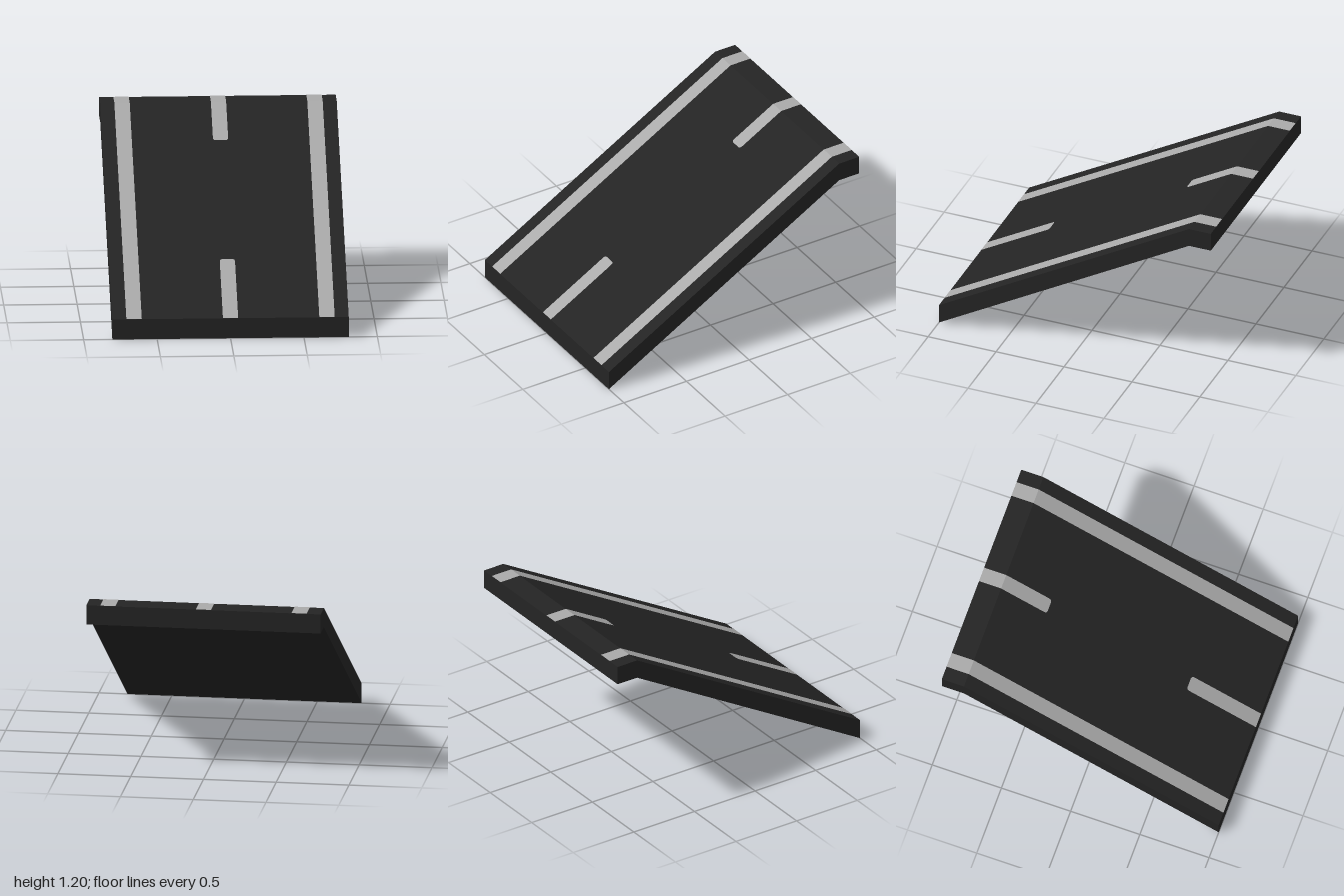
import * as THREE from 'three';

const HALF_WIDTH = 0.805;
const CREST_Z = -0.84; // where the slope meets the flat landing
const LIP = 0.14;      // height of the front edge
const TOP = 1.2;
const LIFT = 0.002;    // paint sits just above the road

// Height of the road surface at depth z
const roadHeight = (z) => z <= CREST_Z ? TOP : LIP + (TOP - LIP) * (1 - z) / (1 - CREST_Z);

export function createModel() {
  const asphalt = new THREE.MeshStandardMaterial({ color: 0x242424 });
  asphalt.name = 'asphalt';
  const paint = new THREE.MeshStandardMaterial({ color: 0xaaaaaa });
  paint.name = 'road paint';

  const model = new THREE.Group();
  model.name = 'roadRamp';

  // Sloping slab with a short flat landing, extruded across the width
  const profile = new THREE.Shape([
    [1, 0], [1, LIP], [CREST_Z, TOP], [-1, TOP], [-1, TOP - 0.135], [CREST_Z, TOP - 0.135],
  ].map(([z, y]) => new THREE.Vector2(z, y)));
  const slabGeometry = new THREE.ExtrudeGeometry(profile, { depth: HALF_WIDTH * 2, bevelEnabled: false });
  slabGeometry.translate(0, 0, -HALF_WIDTH).rotateY(-Math.PI / 2);
  const slab = new THREE.Mesh(slabGeometry, asphalt);
  slab.name = 'rampSlab';
  model.add(slab);

  // Painted strip laid on the surface; r rounds the corners of the chosen ends
  function addStrip(name, x, width, zFront, zBack, rFront = 0, rBack = 0) {
    const a = x - width / 2, b = x + width / 2;
    const shape = new THREE.Shape();
    shape.moveTo(a + rFront, -zFront);
    shape.lineTo(b - rFront, -zFront);
    if (rFront) shape.quadraticCurveTo(b, -zFront, b, -zFront + rFront);
    shape.lineTo(b, -zBack - rBack);
    if (rBack) shape.quadraticCurveTo(b, -zBack, b - rBack, -zBack);
    shape.lineTo(a + rBack, -zBack);
    if (rBack) shape.quadraticCurveTo(a, -zBack, a, -zBack - rBack);
    shape.lineTo(a, -zFront + rFront);
    if (rFront) shape.quadraticCurveTo(a, -zFront, a + rFront, -zFront);

    const geometry = new THREE.ShapeGeometry(shape, 4).rotateX(-Math.PI / 2);
    const p = geometry.attributes.position;
    for (let i = 0; i < p.count; i++) p.setY(i, roadHeight(p.getZ(i)) + LIFT);
    geometry.computeVertexNormals();
    const strip = new THREE.Mesh(geometry, paint);
    strip.name = name;
    model.add(strip);
  }

  // Edge lines, each folded over the crest in two pieces
  for (const [side, s] of [['left', 1], ['right', -1]]) {
    addStrip(`${side}EdgeLineSlope`, s * 0.657, 0.105, 1, CREST_Z);
    addStrip(`${side}EdgeLineLanding`, s * 0.657, 0.105, CREST_Z, -1);
  }

  // Centre dashes with rounded inner ends
  addStrip('lowerCentreDash', 0, 0.104, 1, 0.5, 0, 0.02);
  addStrip('upperCentreDashSlope', 0, 0.104, -0.51, CREST_Z, 0.02, 0);
  addStrip('upperCentreDashLanding', 0, 0.104, CREST_Z, -1);

  return model;
}
